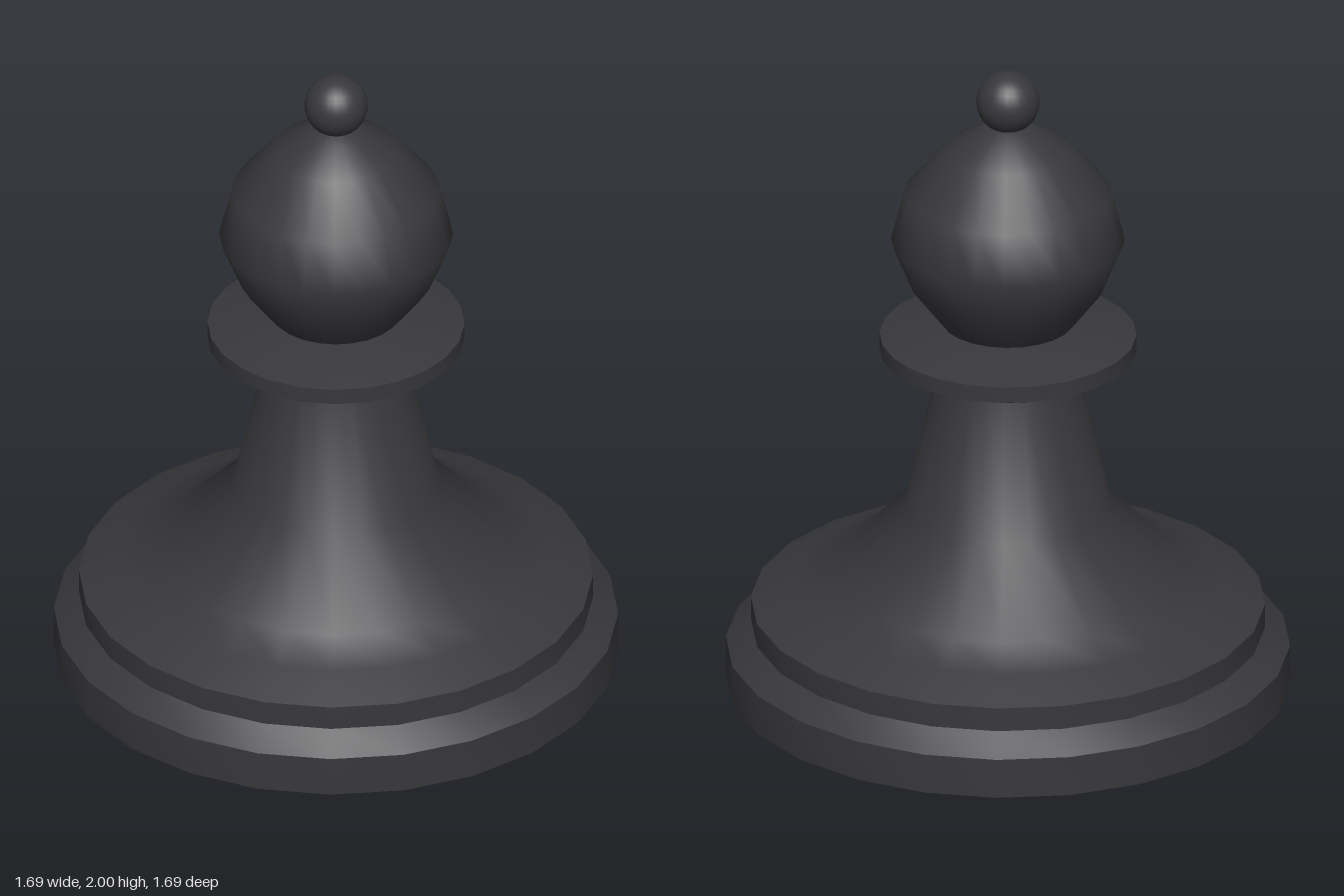
import * as THREE from 'three';
import { toCreasedNormals } from 'three/addons/utils/BufferGeometryUtils.js';

const SIDES = 24;

export function createModel() {
  const model = new THREE.Group();
  model.name = 'chessBishop';

  const charcoal = new THREE.MeshStandardMaterial({ color: 0x38383c });
  charcoal.name = 'charcoal';

  // Turns a profile of [radius, height] pairs, listed from bottom to top.
  function turn(name, profile, crease) {
    const points = profile.map(([r, y]) => new THREE.Vector2(r, y));
    let geometry = new THREE.LatheGeometry(points, SIDES);
    if (crease) geometry = toCreasedNormals(geometry, crease);
    const mesh = new THREE.Mesh(geometry, charcoal);
    mesh.name = name;
    model.add(mesh);
  }

  // Stepped foot with a chamfer
  turn('base', [
    [0, 0], [0.845, 0], [0.845, 0.125], [0.77, 0.185], [0.77, 0.26],
  ], 0.6);

  // Flared skirt rising into the tapered stem
  turn('stem', [
    [0.77, 0.26], [0.65, 0.315], [0.53, 0.365], [0.31, 0.585], [0.21, 1.03],
  ]);

  // Thin collar disc, bevelled above and below
  turn('collar', [
    [0.19, 1.015], [0.225, 1.015], [0.385, 1.09], [0.385, 1.14], [0.2, 1.185], [0, 1.185],
  ], 0.6);

  // Rounded head with a coarse profile
  turn('head', [
    [0.195, 1.18], [0.29, 1.305], [0.35, 1.453], [0.31, 1.606],
    [0.19, 1.75], [0.095, 1.81], [0.05, 1.835], [0, 1.845],
  ]);

  // Ball on top
  const finial = new THREE.Mesh(new THREE.SphereGeometry(0.095, SIDES, 16), charcoal);
  finial.name = 'finial';
  finial.position.y = 1.905;
  model.add(finial);

  return model;
}
